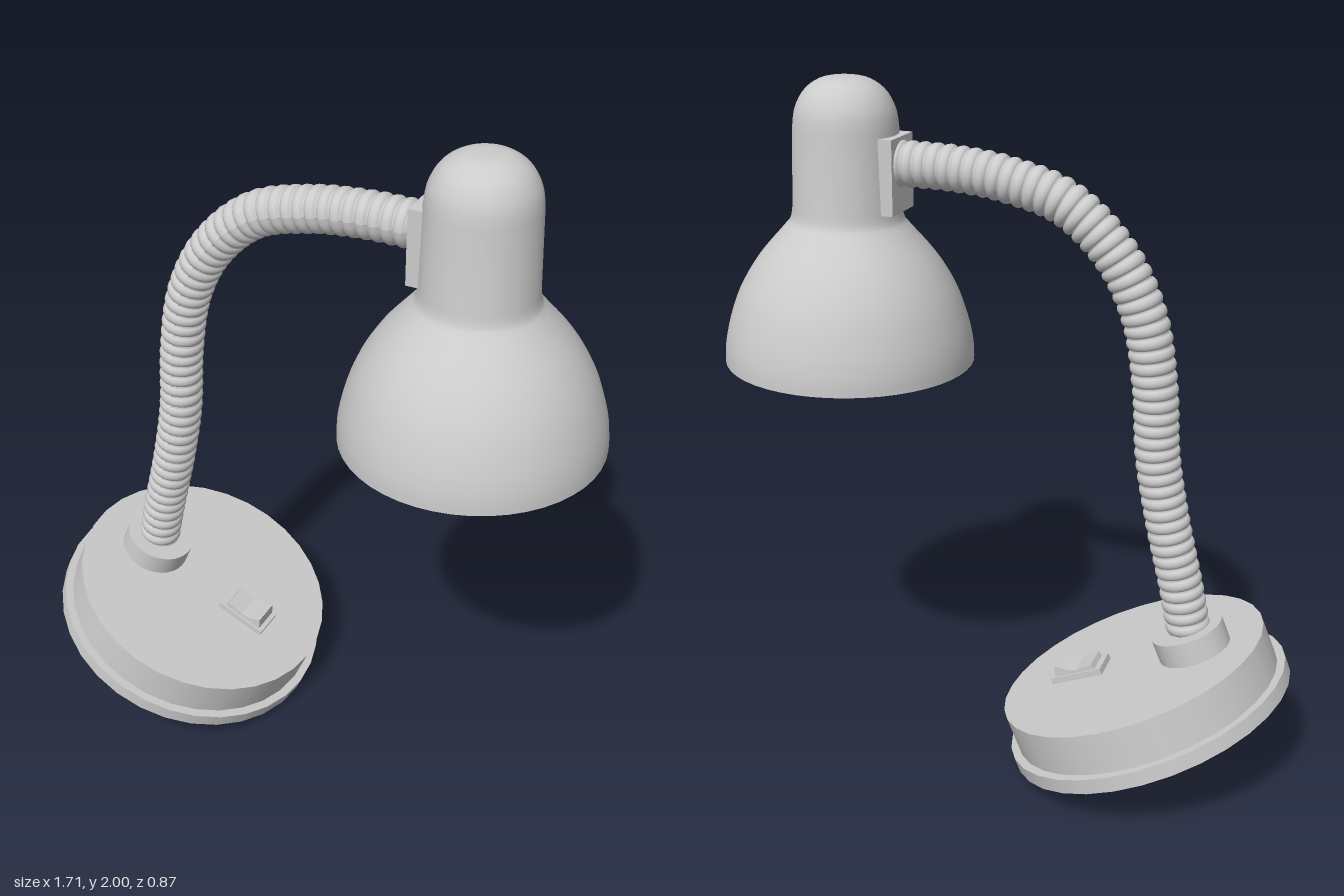
import * as THREE from 'three';
import { toCreasedNormals } from 'three/addons/utils/BufferGeometryUtils.js';

const material = new THREE.MeshStandardMaterial({ color: 0xcccccc });

function add(parent, name, geometry, x = 0, y = 0, z = 0) {
  const mesh = new THREE.Mesh(geometry, material);
  mesh.name = name;
  mesh.position.set(x, y, z);
  parent.add(mesh);
  return mesh;
}

const points = (list) => list.map(([x, y]) => new THREE.Vector2(x, y));
const smooth = (list, n) => new THREE.SplineCurve(points(list)).getPoints(n);

// Side profile (x, y) extruded symmetrically across z
function slab(profile, width) {
  const geometry = new THREE.ExtrudeGeometry(new THREE.Shape(points(profile)), {
    depth: width, bevelEnabled: false,
  });
  return geometry.translate(0, 0, -width / 2);
}

// Tilted round foot with collar and rocker switch
function createBase() {
  const base = new THREE.Group();
  base.name = 'base';
  base.position.set(-0.457, 0.17, 0);
  base.rotation.z = -0.395;
  const disc = (name, r, y0, y1, x = 0) =>
    add(base, name, new THREE.CylinderGeometry(r, r, y1 - y0, 32), x, (y0 + y1) / 2);
  disc('baseRim', 0.434, 0, 0.045);
  disc('baseBody', 0.409, 0.045, 0.168);
  disc('neckCollar', 0.108, 0.16, 0.24, -0.203);
  add(base, 'switchFrame', new THREE.BoxGeometry(0.165, 0.026, 0.1), 0.167, 0.174);
  add(base, 'switchRocker', slab([
    [0.1, 0.17], [0.235, 0.17], [0.235, 0.19], [0.225, 0.222],
    [0.195, 0.202], [0.165, 0.195], [0.109, 0.203],
  ], 0.085));
  return base;
}

// Corrugated gooseneck: a tube whose radius ripples along its length
function createNeck() {
  const path = new THREE.CatmullRomCurve3([
    [-0.565, 0.43], [-0.53, 0.6], [-0.482, 0.8], [-0.445, 1.0], [-0.43, 1.2],
    [-0.392, 1.4], [-0.31, 1.56], [-0.17, 1.69], [0, 1.745], [0.15, 1.765], [0.33, 1.77],
  ].map(([x, y]) => new THREE.Vector3(x, y, 0)));
  path.arcLengthDivisions = 600;
  const rings = 52, steps = rings * 8, sides = 24;
  const geometry = new THREE.TubeGeometry(path, steps, 1, sides);
  const position = geometry.attributes.position;
  const vertex = new THREE.Vector3();
  for (let i = 0; i <= steps; i++) {
    const centre = path.getPointAt(i / steps);
    const radius = 0.053 + 0.012 * Math.sqrt(Math.abs(Math.sin((i / steps) * rings * Math.PI)));
    for (let j = 0; j <= sides; j++) {
      const k = i * (sides + 1) + j;
      vertex.fromBufferAttribute(position, k).sub(centre).multiplyScalar(radius).add(centre);
      position.setXYZ(k, vertex.x, vertex.y, vertex.z);
    }
  }
  geometry.computeVertexNormals();
  return geometry;
}

// Bell shade with a domed stem, open below, and its bulb
function createHead() {
  const head = new THREE.Group();
  head.name = 'head';
  head.position.set(0.4875, 1.192, 0);
  head.rotation.z = 0.02;

  const inner = smooth([
    [0.135, 0.41], [0.165, 0.37], [0.24, 0.3], [0.295, 0.21], [0.328, 0.11], [0.343, 0],
  ], 20);
  const outerBell = smooth([
    [0.363, 0], [0.36, 0.05], [0.345, 0.12], [0.312, 0.21], [0.258, 0.3],
    [0.185, 0.385], [0.162, 0.414], [0.155, 0.45],
  ], 28);
  const dome = smooth([
    [0.148, 0.67], [0.14, 0.72], [0.115, 0.767], [0.078, 0.796], [0.04, 0.807], [0, 0.808],
  ], 16);
  dome[dome.length - 1].x = 0;
  const profile = [
    ...points([[0, 0.74], [0.13, 0.67]]), ...inner, ...outerBell, ...dome,
  ];
  add(head, 'shade', toCreasedNormals(new THREE.LatheGeometry(profile, 48), 0.6));

  const bulb = smooth([
    [0, 0.055], [0.06, 0.067], [0.11, 0.1], [0.145, 0.15], [0.155, 0.21],
    [0.14, 0.275], [0.1, 0.34], [0.065, 0.4], [0.06, 0.5],
  ], 28);
  bulb[0].x = 0;
  add(head, 'bulb', new THREE.LatheGeometry(bulb, 32));
  add(head, 'bulbSocket', new THREE.CylinderGeometry(0.07, 0.07, 0.2, 24), 0, 0.58);
  return head;
}

export function createModel() {
  const lamp = new THREE.Group();
  lamp.name = 'deskLamp';
  lamp.add(createBase());
  add(lamp, 'gooseneck', createNeck());
  // Mounting plate where the neck meets the stem
  add(lamp, 'neckBracket', new THREE.BoxGeometry(0.07, 0.21, 0.15), 0.342, 1.74).rotation.z = 0.01;
  lamp.add(createHead());
  return lamp;
}
